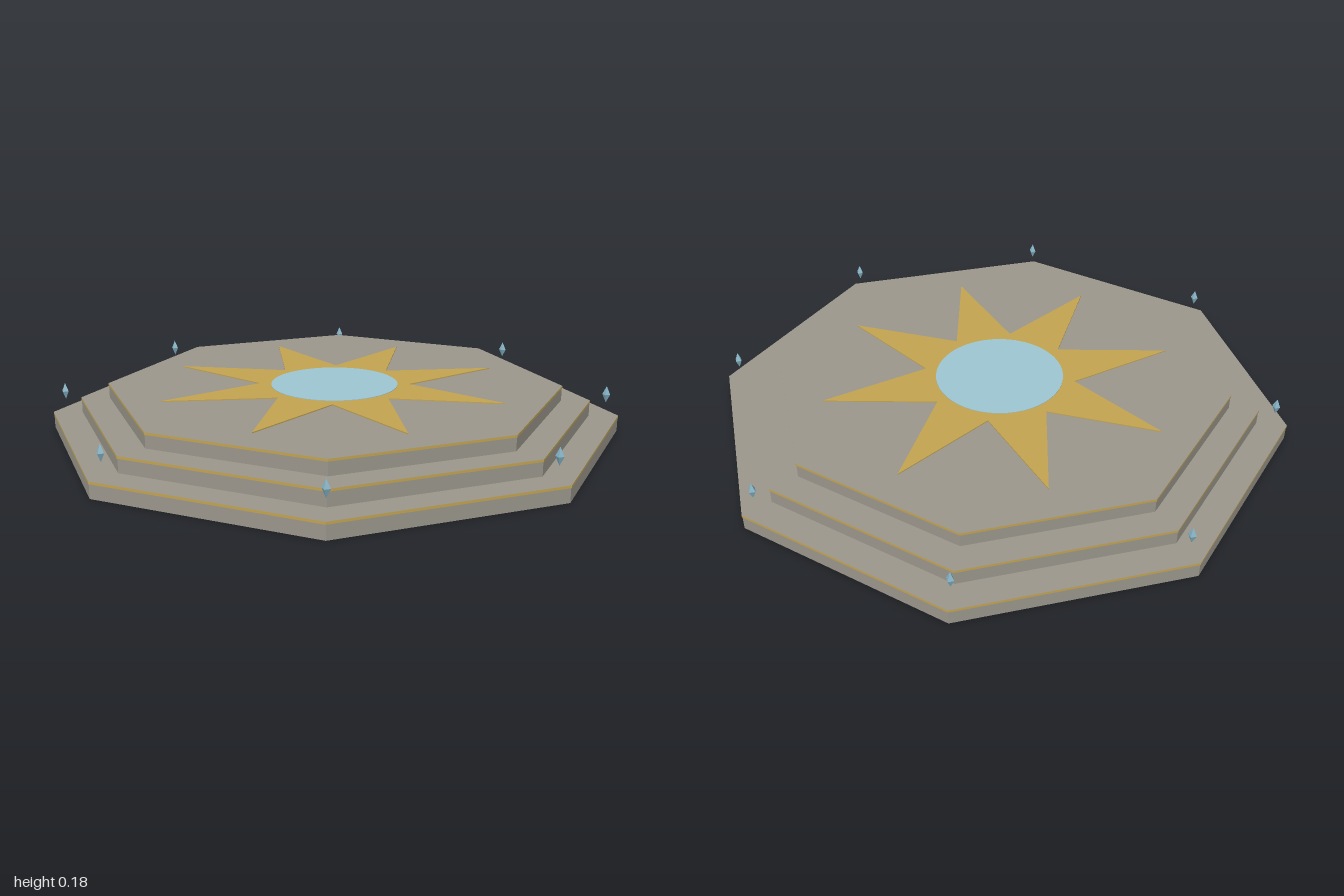
import * as THREE from 'three';

const mat = (name, color) => {
  const m = new THREE.MeshStandardMaterial({ color });
  m.name = name;
  return m;
};

// Octagonal slab with flat sides facing the axes; size is the centre-to-side distance
function octagon(apothem, height) {
  const r = apothem / Math.cos(Math.PI / 8);
  return new THREE.CylinderGeometry(r, r, height, 8).rotateY(Math.PI / 8).toNonIndexed();
}

export function createModel() {
  const stone = mat('stone', 0x9a968b);
  const gold = mat('gold', 0xc2a350);
  const blue = mat('paleBlue', 0x9dc5d2);
  const crystalBlue = mat('crystalBlue', 0x86b4c6);
  const model = new THREE.Group();
  model.name = 'steppedDais';

  const add = (name, geometry, material, x, y, z) => {
    if (geometry.index === null) geometry.computeVertexNormals();
    const mesh = new THREE.Mesh(geometry, material);
    mesh.name = name;
    mesh.position.set(x, y, z);
    model.add(mesh);
  };

  // Three steps, each with a thin gold band round its upper edge
  const trim = 0.009;
  [[0.998, 0, 0.06], [0.896, 0.06, 0.119], [0.796, 0.119, 0.176]].forEach(([a, y0, y1], i) => {
    const h = y1 - y0 - trim;
    add(`step${i + 1}`, octagon(a, h), stone, 0, y0 + h / 2, 0);
    add(`stepTrim${i + 1}`, octagon(a + 0.002, trim), [gold, stone, stone], 0, y1 - trim / 2, 0);
  });

  // Eight-pointed star inlay
  const points = [];
  for (let i = 0; i < 16; i++) {
    const r = i % 2 ? 0.283 : 0.667;
    const t = (i * Math.PI) / 8;
    points.push(new THREE.Vector2(r * Math.cos(t), r * Math.sin(t)));
  }
  const star = new THREE.ExtrudeGeometry(new THREE.Shape(points), { depth: 0.004, bevelEnabled: false });
  add('starInlay', star.rotateX(-Math.PI / 2), gold, 0, 0.176, 0);

  // Round centre inlay
  add('centreDisc', new THREE.CylinderGeometry(0.24, 0.24, 0.006, 48), blue, 0, 0.179, 0);

  // Floating crystals above the corners of the lowest step
  for (let i = 0; i < 8; i++) {
    const t = ((i + 0.5) * Math.PI) / 4;
    const crystal = new THREE.OctahedronGeometry(1).scale(0.015, 0.032, 0.015);
    add(`crystal${i + 1}`, crystal, crystalBlue, 1.031 * Math.cos(t), 0.144, 1.031 * Math.sin(t));
  }
  return model;
}
